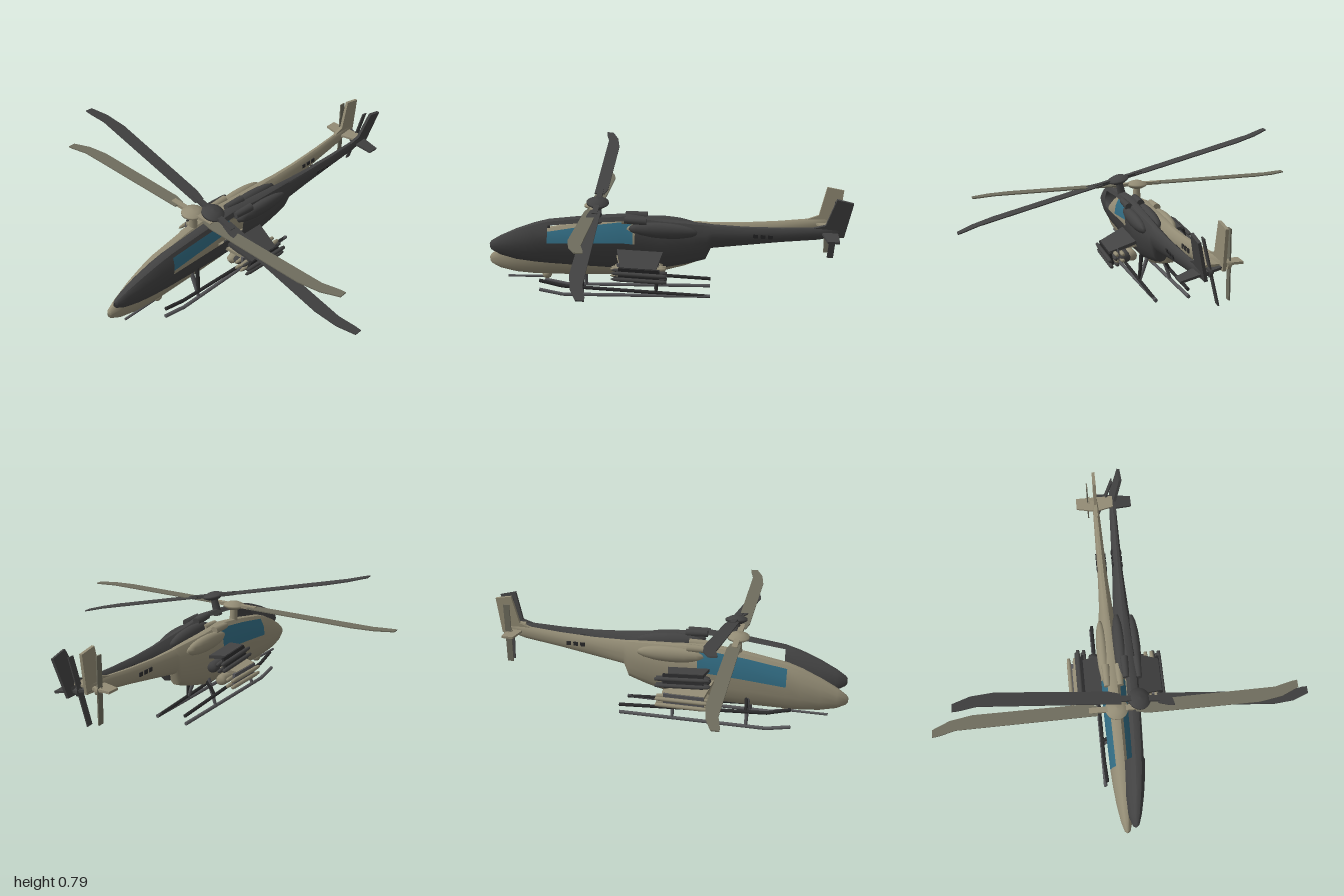
import * as THREE from 'three';
import { toCreasedNormals } from 'three/addons/utils/BufferGeometryUtils.js';

const paint = (name, color, side = THREE.DoubleSide) => {
  const m = new THREE.MeshStandardMaterial({ color, side });
  m.name = name;
  return m;
};

// Hull stations: z, bottom, top, half width
const STATIONS = [
  [1.0, 0.175, 0.2, 0.004], [0.99, 0.16, 0.215, 0.016], [0.94, 0.135, 0.25, 0.031],
  [0.85, 0.115, 0.3, 0.046], [0.75, 0.107, 0.345, 0.056], [0.67, 0.105, 0.372, 0.061],
  [0.45, 0.105, 0.412, 0.066], [0.25, 0.108, 0.438, 0.068], [0.19, 0.112, 0.432, 0.068],
  [0.05, 0.125, 0.422, 0.066], [-0.1, 0.165, 0.417, 0.054], [-0.2, 0.2, 0.413, 0.044],
  [-0.225, 0.272, 0.41, 0.038], [-0.4, 0.302, 0.41, 0.028], [-0.6, 0.337, 0.42, 0.023],
  [-0.8, 0.367, 0.438, 0.018], [-0.9, 0.395, 0.44, 0.01], [-0.93, 0.41, 0.42, 0.002],
];
// Half section, bottom to top: width fraction, height fraction
const SECTION = [[0.3, 0], [0.6, 0.06], [0.82, 0.17], [0.96, 0.34], [1, 0.56],
  [0.86, 0.76], [0.5, 0.92], [0.28, 0.985], [0, 1]];
const RING = [...SECTION, ...SECTION.slice(0, -1).reverse().map(([w, f]) => [-w, f])];

// Loft the hull, keeping the canopy openings apart
function hullGeometries() {
  const pos = [], hull = [], panes = [], n = RING.length;
  for (const [z, b, t, w] of STATIONS)
    for (const [rx, f] of RING) pos.push(rx * w, b + (t - b) * f, z);
  for (let i = 0; i < STATIONS.length - 1; i++)
    for (let j = 0; j < n; j++) {
      const k = (j + 1) % n, a = i * n + j, b = i * n + k, d = a + n, c = b + n;
      const open = i >= 5 && i <= 7 && [4, 5, n - 6, n - 7].includes(j);
      (open ? panes : hull).push(a, d, b, b, d, c);
    }
  return [hull, panes].map((index) => {
    const g = new THREE.BufferGeometry();
    g.setAttribute('position', new THREE.Float32BufferAttribute(pos, 3));
    g.setIndex(index);
    return toCreasedNormals(g, 0.6);
  });
}

// Flat plate from 2D points, centred on its thickness
function plate(points, depth) {
  const s = new THREE.Shape(points.map(([x, y]) => new THREE.Vector2(x, y)));
  return new THREE.ExtrudeGeometry(s, { depth, bevelEnabled: false }).translate(0, 0, -depth / 2);
}

function rod(a, b, r0, r1 = r0, sides = 8) {
  const A = new THREE.Vector3(...a), B = new THREE.Vector3(...b), d = B.clone().sub(A);
  const g = new THREE.CylinderGeometry(r1, r0, d.length(), sides);
  g.applyQuaternion(new THREE.Quaternion().setFromUnitVectors(new THREE.Vector3(0, 1, 0), d.normalize()));
  const m = A.add(B).multiplyScalar(0.5);
  return g.translate(m.x, m.y, m.z);
}

// Round store pointing forward, with a blunt nose
function store(x, y, z0, z1, r) {
  const L = z1 - z0;
  const pts = [[0, 0], [r * 0.8, 0], [r, L * 0.08], [r, L * 0.84], [r * 0.7, L * 0.95], [0, L]];
  return new THREE.LatheGeometry(pts.map((p) => new THREE.Vector2(...p)), 12)
    .rotateX(Math.PI / 2).translate(x, y, z0);
}

function helicopter(name, mats) {
  const group = new THREE.Group();
  group.name = name;
  const add = (part, geo, mat) => {
    const m = new THREE.Mesh(geo, mat);
    m.name = part;
    group.add(m);
    return m;
  };

  const [hull, panes] = hullGeometries();
  add('fuselage', hull, mats.hull);
  if (mats.glass) add('canopyGlass', panes, mats.glass);

  // Main rotor: mast, hub, cuffs and two swept-tip blades
  add('mast', rod([0, 0.38, 0.4], [0, 0.5, 0.4], 0.026, 0.018, 12), mats.hull);
  const hub = [[0, -0.022], [0.035, -0.02], [0.06, -0.005], [0.06, 0.006], [0.03, 0.02], [0, 0.024]];
  add('rotorHub', new THREE.LatheGeometry(hub.map((p) => new THREE.Vector2(...p)), 16)
    .translate(0, 0.497, 0.4), mats.hull);
  const blade = [[0.1, -0.025], [0.16, -0.038], [0.75, -0.038], [0.87, -0.018], [0.962, 0.022],
    [0.962, 0.062], [0.93, 0.058], [0.84, 0.036], [0.1, 0.03]];
  for (const turn of [0, Math.PI]) {
    const g = plate(blade, 0.006).rotateX(-Math.PI / 2).rotateY(turn).translate(0, 0.5, 0.4);
    add('rotorBlade', g, mats.blade);
    add('bladeCuff', new THREE.BoxGeometry(0.1, 0.018, 0.03)
      .translate(0.095, 0, 0).rotateY(turn).translate(0, 0.499, 0.4), mats.hull);
  }

  // Tail fin, stabiliser and tail rotor
  const fin = [[0.76, 0.43], [0.83, 0.455], [0.87, 0.612], [0.96, 0.595], [0.935, 0.39], [0.85, 0.385]];
  add('tailFin', plate(fin, 0.016).rotateY(Math.PI / 2), mats.hull);
  const stab = [[-0.11, 0.9], [0.11, 0.9], [0.11, 0.835], [0.02, 0.815], [-0.02, 0.815], [-0.11, 0.835]];
  add('stabiliser', plate(stab, 0.012).rotateX(-Math.PI / 2).translate(0, 0.41, 0), mats.hull);
  add('tailRotorShaft', rod([0, 0.405, -0.885], [-0.055, 0.405, -0.885], 0.014), mats.hull);
  add('tailRotorHub', rod([-0.03, 0.405, -0.885], [-0.046, 0.405, -0.885], 0.026), mats.hull);
  add('tailRotorBlades', new THREE.BoxGeometry(0.007, 0.345, 0.034)
    .translate(-0.043, 0.405, -0.885), mats.blade);

  // Chin gun
  add('gunTurret', new THREE.SphereGeometry(0.027, 12, 8).translate(0, 0.1, 0.68), mats.hull);
  add('gunBarrel', rod([0, 0.085, 0.66], [0, 0.085, 0.9], 0.007), mats.gear);

  for (const s of [-1, 1]) {
    // Engine cowl and exhaust
    add('engineCowl', new THREE.SphereGeometry(1, 14, 10).scale(0.034, 0.045, 0.19)
      .translate(s * 0.042, 0.375, 0.04), mats.hull);
    add('engineIntake', rod([s * 0.035, 0.42, 0.25], [s * 0.035, 0.42, 0.13], 0.018, 0.022, 12), mats.hull);

    // Vents on the boom
    for (const z of [-0.46, -0.5, -0.54])
      add('boomVent', new THREE.BoxGeometry(0.006, 0.022, 0.026).translate(s * 0.026, 0.372, z), mats.vent);

    // Stub wing with drooping tip
    const wing = plate([[0.04, -0.29], [0.22, -0.25], [0.22, -0.06], [0.04, -0.03]], 0.018)
      .rotateX(-Math.PI / 2);
    wing.rotateZ(-0.14).translate(0, 0.255, 0);
    if (s < 0) wing.rotateY(Math.PI).translate(0, 0, 0.32);
    add('stubWing', wing, mats.wing);

    // Rocket pod and missile rack
    add('podPylon', new THREE.BoxGeometry(0.012, 0.05, 0.12).translate(s * 0.143, 0.215, 0.15), mats.gear);
    add('rocketPod', store(s * 0.143, 0.182, 0.02, 0.29, 0.031), mats.hull);
    add('missileRack', new THREE.BoxGeometry(0.014, 0.07, 0.22).translate(s * 0.218, 0.195, 0.15), mats.gear);
    for (const x of [0.202, 0.236])
      for (const y of [0.168, 0.204])
        add('missile', store(s * x, y, 0.0, 0.3, 0.0115), mats.hull);

    // Landing skid and its legs
    const x = s * 0.093;
    add('skid', rod([x, 0.01, -0.24], [x, 0.01, 0.585], 0.01), mats.gear);
    add('skidTip', rod([x, 0.01, 0.58], [x, 0.036, 0.71], 0.01), mats.gear);
    for (const z of [0.47, 0.06])
      add('skidLeg', rod([x, 0.01, z], [s * 0.042, 0.165, z], 0.009, 0.013), mats.gear);
  }
  return group;
}

export function createModel() {
  const model = new THREE.Group();
  model.name = 'helicopterPair';
  const tan = paint('sandTan', 0x938c75), dark = paint('charcoal', 0x424242);
  const black = paint('nearBlack', 0x2b2b2c);

  // Level sand helicopter with glazed canopy
  const sand = helicopter('sandHelicopter', {
    hull: tan, wing: tan, vent: black, blade: paint('oliveGrey', 0x6e6c5d),
    gear: paint('steelGrey', 0x57575a), glass: paint('canopyBlue', 0x316b82),
  });
  sand.position.x = -0.035;

  // Banked charcoal helicopter with open canopy
  const charcoal = helicopter('charcoalHelicopter', {
    hull: dark, wing: dark, vent: black, blade: dark, gear: black,
  });
  charcoal.position.set(-0.035, 0.036, 0);
  charcoal.rotation.set(-0.06, 0, -0.246);

  model.add(sand, charcoal);
  return model;
}
